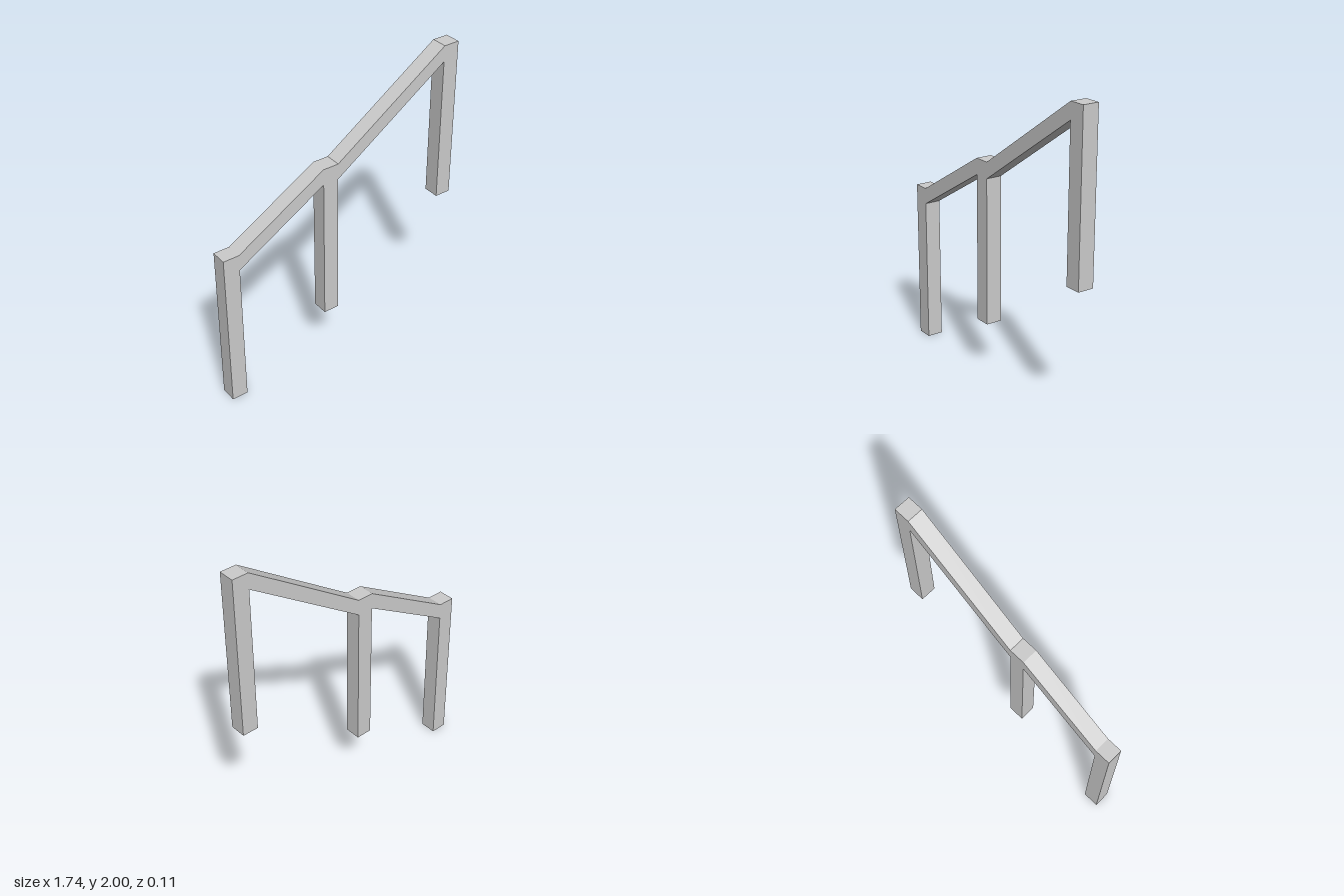
import * as THREE from 'three';

const WIDTH = 0.108;   // square post section, also the rail thickness
const HEIGHT = 1.093;  // every post has the same length

// centre x and top y of each post, low end to high end
const POSTS = [
  { name: 'lowerPost', x: -0.816, top: 1.093 },
  { name: 'middlePost', x: -0.094, top: 1.456 },
  { name: 'upperPost', x: 0.816, top: 2 },
];

export function createModel() {
  const group = new THREE.Group();
  group.name = 'handrail';
  const material = new THREE.MeshStandardMaterial({ color: 0xcccccc, flatShading: true });

  const add = (name, geometry) => {
    const mesh = new THREE.Mesh(geometry, material);
    mesh.name = name;
    group.add(mesh);
    return mesh;
  };

  // upright posts
  for (const { name, x, top } of POSTS) {
    add(name, new THREE.BoxGeometry(WIDTH, HEIGHT, WIDTH)).position.set(x, top - HEIGHT / 2, 0);
  }

  // sloping rails: vertical-ended parallelograms between neighbouring posts
  const addRail = (name, a, b) => {
    const x0 = a.x + WIDTH / 2, x1 = b.x - WIDTH / 2;
    const outline = new THREE.Shape([
      new THREE.Vector2(x0, a.top - WIDTH),
      new THREE.Vector2(x1, b.top - WIDTH),
      new THREE.Vector2(x1, b.top),
      new THREE.Vector2(x0, a.top),
    ]);
    const geometry = new THREE.ExtrudeGeometry(outline, { depth: WIDTH, bevelEnabled: false });
    add(name, geometry.translate(0, 0, -WIDTH / 2));
  };
  addRail('lowerRail', POSTS[0], POSTS[1]);
  addRail('upperRail', POSTS[1], POSTS[2]);

  return group;
}
